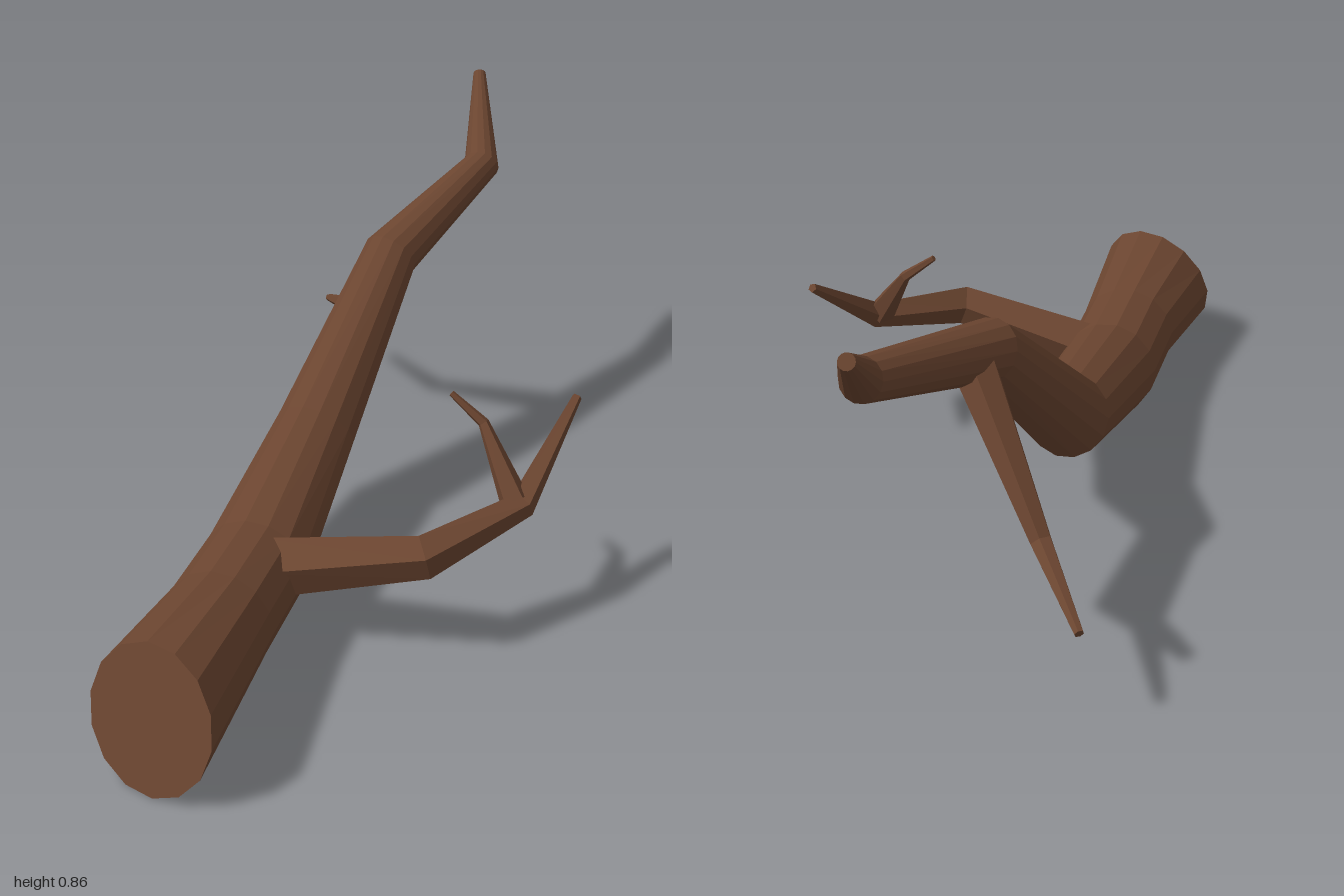
import * as THREE from 'three';

const bark = new THREE.MeshStandardMaterial({ color: 0x6b4530, flatShading: true });

// Tapered limb: each station is [x, y, z, radius]; rings sit on the bisecting plane of each bend.
function limb(name, sides, stations, phase = 0, startNormal = null) {
  const centres = stations.map(([x, y, z]) => new THREE.Vector3(x, y, z));
  const last = centres.length - 1;
  const dir = (i) => centres[i + 1].clone().sub(centres[i]).normalize();
  const positions = [];
  const index = [];
  let v = new THREE.Vector3(0, 1, 0);

  centres.forEach((c, i) => {
    const n = dir(Math.min(i, last - 1));
    if (i > 0 && i < last) n.add(dir(i - 1)).normalize();
    if (i === 0 && startNormal) n.set(...startNormal).normalize();
    v = v.clone().addScaledVector(n, -v.dot(n)).normalize(); // carried along, so no twist
    const u = v.clone().cross(n);
    for (let j = 0; j < sides; j++) {
      const t = ((j + phase) / sides) * Math.PI * 2;
      const p = c.clone()
        .addScaledVector(u, Math.cos(t) * stations[i][3])
        .addScaledVector(v, Math.sin(t) * stations[i][3]);
      positions.push(p.x, p.y, p.z);
    }
  });

  // Walls
  for (let i = 0; i < last; i++) {
    for (let j = 0; j < sides; j++) {
      const k = (j + 1) % sides;
      const a = i * sides + j, b = i * sides + k;
      index.push(a, b, b + sides, a, b + sides, a + sides);
    }
  }
  // End caps
  const end = last * sides;
  for (let j = 1; j < sides - 1; j++) {
    index.push(0, j + 1, j, end, end + j, end + j + 1);
  }

  const geometry = new THREE.BufferGeometry();
  geometry.setAttribute('position', new THREE.Float32BufferAttribute(positions, 3));
  geometry.setIndex(index);
  const flat = geometry.toNonIndexed();
  flat.computeVertexNormals();
  const mesh = new THREE.Mesh(flat, bark);
  mesh.name = name;
  return mesh;
}

export function createModel() {
  const group = new THREE.Group();
  group.name = 'fallenBranch';

  // Main stem with a slanted cut at its thick end
  group.add(limb('mainStem', 14, [
    [-0.17, 0.15, 0.935, 0.156],
    [-0.172, 0.15, 0.59, 0.119],
    [-0.18, 0.15, 0.375, 0.118],
    [-0.198, 0.252, -0.05, 0.096],
    [-0.123, 0.575, -0.385, 0.067],
    [-0.004, 0.683, -0.765, 0.045],
    [-0.078, 0.848, -0.99, 0.016],
  ], 0, [0.3, -0.33, -1]));

  // Left side branch and its twig
  group.add(limb('sideBranch', 5, [
    [-0.14, 0.175, 0.41, 0.07],
    [0.21, 0.262, 0.39, 0.05],
    [0.368, 0.302, 0.19, 0.032],
    [0.43, 0.464, -0.028, 0.011],
  ], 0.25));
  group.add(limb('sideTwig', 5, [
    [0.352, 0.31, 0.195, 0.034],
    [0.26, 0.45, 0.127, 0.013],
    [0.186, 0.509, 0.125, 0.007],
  ], 0.25));

  // Low twig near the thin end
  group.add(limb('rearTwig', 6, [
    [-0.115, 0.58, -0.46, 0.05],
    [-0.31, 0.3, -0.62, 0.024],
    [-0.437, 0.229, -0.787, 0.01],
  ]));

  return group;
}
